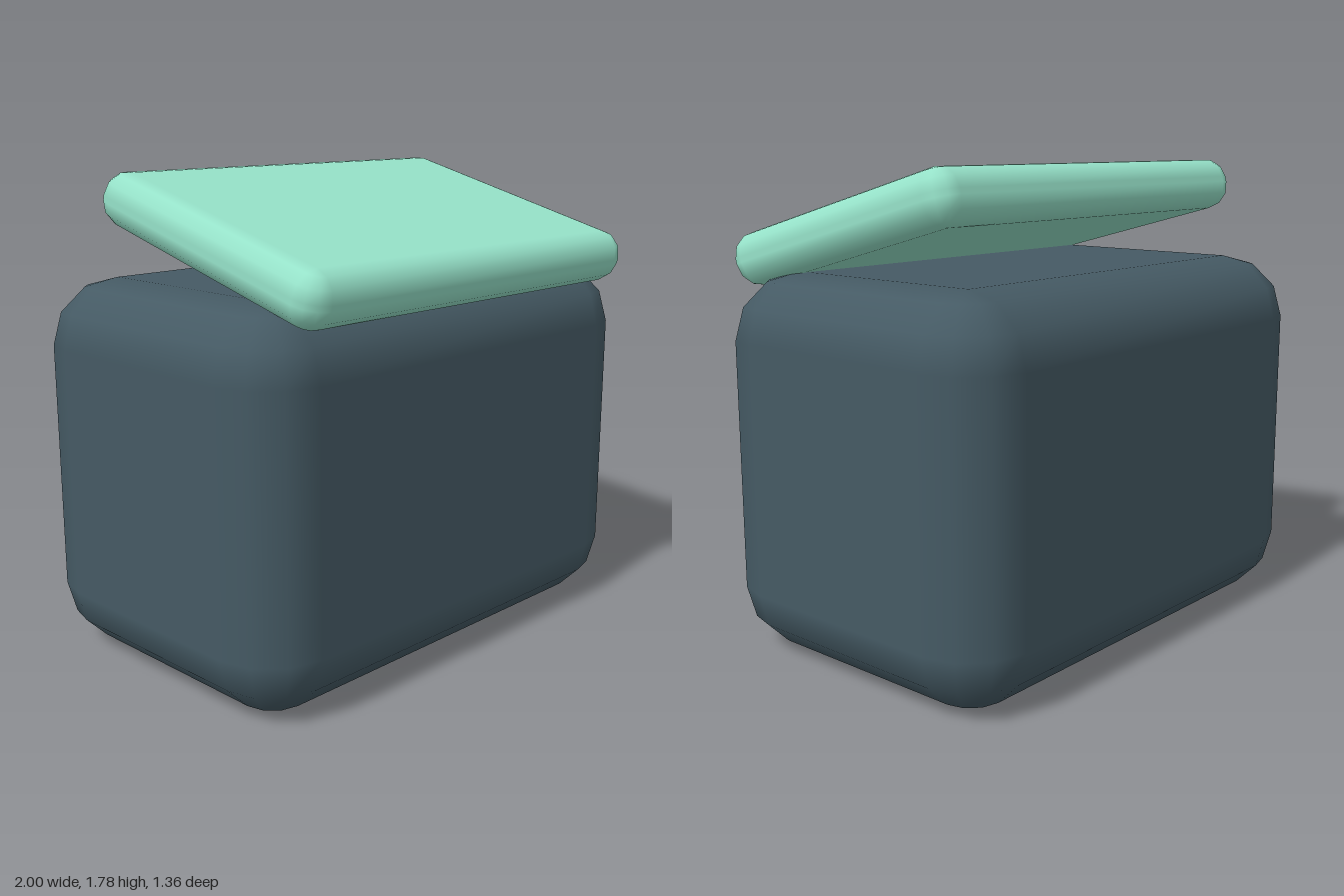
import * as THREE from 'three';

const STEPS = 3; // facets per rounded quarter

// Rounded block: a coarse sphere whose eight octants are pushed apart to the box corners
function roundedBlock(w, h, d, r) {
  const hx = w / 2 - r, hy = h / 2 - r, hz = d / 2 - r;
  const cols = 4 * (STEPS + 1), rows = 2 * (STEPS + 1);
  const pos = [], nor = [], idx = [];
  for (let j = 0; j < rows; j++) {
    const top = j <= STEPS;
    const polar = (top ? j : j - 1) * (Math.PI / 2 / STEPS);
    for (let i = 0; i < cols; i++) {
      const q = Math.floor(i / (STEPS + 1));
      const a = (q + (i % (STEPS + 1)) / STEPS) * Math.PI / 2;
      const sx = q === 0 || q === 3 ? 1 : -1, sz = q < 2 ? 1 : -1;
      const n = [Math.sin(polar) * Math.cos(a), Math.cos(polar), Math.sin(polar) * Math.sin(a)];
      nor.push(...n);
      pos.push(sx * hx + r * n[0], (top ? hy : -hy) + r * n[1], sz * hz + r * n[2]);
    }
  }
  // Side bands, leaving out the collapsed triangles at the poles
  for (let j = 0; j < rows - 1; j++) {
    for (let i = 0; i < cols; i++) {
      const k = (i + 1) % cols, flat = i % (STEPS + 1) === STEPS;
      const a = j * cols + i, b = j * cols + k, c = a + cols, e = b + cols;
      if (j > 0 || flat) idx.push(a, b, e);
      if (j < rows - 2 || flat) idx.push(a, e, c);
    }
  }
  // Flat top and bottom
  const [t0, t1, t2, t3] = [0, 1, 2, 3].map((q) => q * (STEPS + 1));
  const o = (rows - 1) * cols;
  idx.push(t0, t2, t1, t0, t3, t2, o + t0, o + t1, o + t2, o + t0, o + t2, o + t3);

  const g = new THREE.BufferGeometry();
  g.setAttribute('position', new THREE.Float32BufferAttribute(pos, 3));
  g.setAttribute('normal', new THREE.Float32BufferAttribute(nor, 3));
  g.setIndex(idx);
  return g;
}

export function createModel() {
  const group = new THREE.Group();
  group.name = 'boxWithTiltedLid';

  const add = (name, geometry, color, y, z) => {
    const mesh = new THREE.Mesh(geometry, new THREE.MeshStandardMaterial({ color }));
    mesh.name = name;
    mesh.position.set(0, y, z);
    group.add(mesh);
    return mesh;
  };

  // Container body
  add('body', roundedBlock(2, 1.4, 1.3, 0.24), 0x455a64, 0.7, -0.03);

  // Lid, raised at the back and resting on the front edge
  const lid = add('lid', roundedBlock(1.72, 0.2, 1.14, 0.09), 0x96e2c9, 1.56, 0.13);
  lid.rotation.x = THREE.MathUtils.degToRad(15);

  return group;
}
